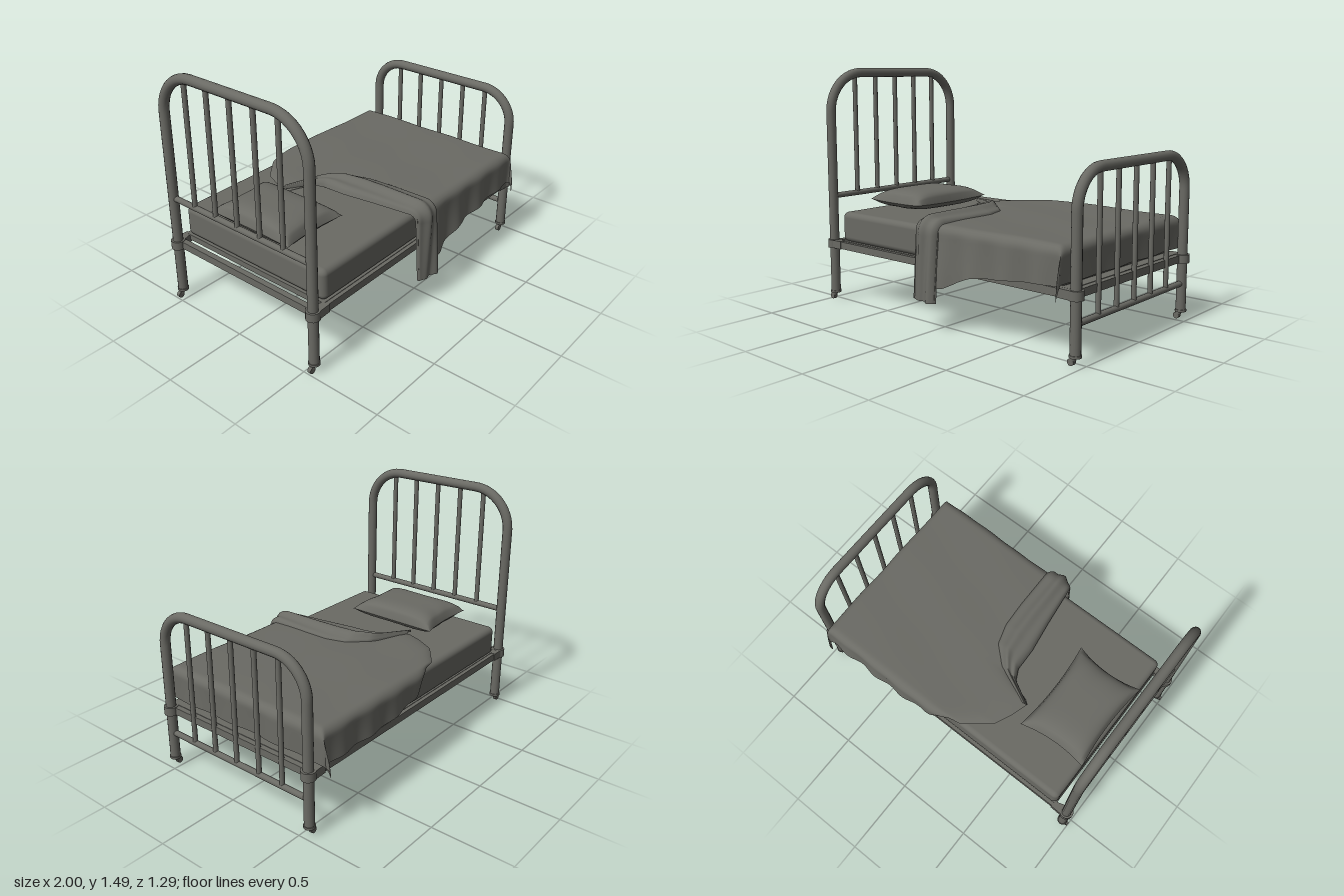
import * as THREE from 'three';
import { RoundedBoxGeometry } from 'three/addons/geometries/RoundedBoxGeometry.js';

const V = (x, y, z) => new THREE.Vector3(x, y, z);
const lerp = THREE.MathUtils.lerp;
const POST_X = 0.956, POST_Z = 0.537;

// piecewise-linear lookup through [key, value] pairs
function lookup(pairs, k) {
  for (let i = 1; i < pairs.length; i++) {
    const [a, va] = pairs[i - 1], [b, vb] = pairs[i];
    if (k <= b) return lerp(va, vb, THREE.MathUtils.clamp((k - a) / (b - a), 0, 1));
  }
  return pairs[pairs.length - 1][1];
}

// distance past a rounded edge -> bend angle, straight drop
const EDGE_Z = 0.545, EDGE_X = 0.86, R = 0.05, TOP = 0.62;
function bend(d) {
  if (d <= 0) return { a: 0, down: 0 };
  const a = Math.min(d / R, Math.PI / 2);
  return { a, down: R * (1 - Math.cos(a)) + Math.max(0, d - R * Math.PI / 2) };
}

// lays a cloth point (t along the bed, s across it) over the mattress
function drape(t, s, lift) {
  const side = Math.sign(s) || 1;
  const bz = bend(Math.abs(s) - EDGE_Z), bx = bend(t - EDGE_X);
  const corner = Math.min(bz.down, bx.down);
  const ripple = 0.045 * bz.down * Math.sin(t * 27) + 0.05 * bz.down;
  const z = Math.min(Math.abs(s), EDGE_Z) + (R + lift) * Math.sin(bz.a) + ripple + 0.14 * corner;
  const x = Math.min(t, EDGE_X) + (R + lift) * Math.sin(bx.a) + 0.03 * bx.down * Math.sin(s * 19) - 0.12 * corner;
  const y = TOP - Math.hypot(bz.down, bx.down) + lift * Math.cos(bz.a) * Math.cos(bx.a);
  return V(x, y, side * z);
}

// smooth sheet whose points follow rule(u, v)
function sheet(nu, nv, rule) {
  const g = new THREE.PlaneGeometry(1, 1, nu, nv), p = g.attributes.position;
  for (let i = 0; i < p.count; i++) {
    const q = rule(p.getX(i) + 0.5, 0.5 - p.getY(i));
    p.setXYZ(i, q.x, q.y, q.z);
  }
  g.computeVertexNormals();
  return g;
}

export function createModel() {
  const model = new THREE.Group();
  model.name = 'bed';
  const grey = new THREE.MeshStandardMaterial({ color: 0x6a6a64, side: THREE.DoubleSide });
  grey.name = 'warm grey';

  function add(parent, name, geometry, x = 0, y = 0, z = 0) {
    const m = new THREE.Mesh(geometry, grey);
    m.name = name;
    m.position.set(x, y, z);
    parent.add(m);
    return m;
  }
  function rod(parent, name, a, b, r, r2 = r) {
    const d = b.clone().sub(a);
    const m = add(parent, name, new THREE.CylinderGeometry(r2, r, d.length(), 16));
    m.position.copy(a).add(b).multiplyScalar(0.5);
    m.quaternion.setFromUnitVectors(V(0, 1, 0), d.normalize());
  }

  // arched end frame with spindles, collars and casters
  function endFrame(name, dir, top, radius, railY) {
    const g = new THREE.Group(), x = dir * POST_X, k = radius * 0.4477;
    g.name = name;
    model.add(g);
    const path = new THREE.CurvePath(), zi = POST_Z - radius, yi = top - radius;
    path.add(new THREE.LineCurve3(V(x, 0.05, POST_Z), V(x, yi, POST_Z)));
    path.add(new THREE.CubicBezierCurve3(V(x, yi, POST_Z), V(x, top - k, POST_Z), V(x, top, zi + radius - k), V(x, top, zi)));
    path.add(new THREE.LineCurve3(V(x, top, zi), V(x, top, -zi)));
    path.add(new THREE.CubicBezierCurve3(V(x, top, -zi), V(x, top, k - POST_Z), V(x, top - k, -POST_Z), V(x, yi, -POST_Z)));
    path.add(new THREE.LineCurve3(V(x, yi, -POST_Z), V(x, 0.05, -POST_Z)));
    add(g, 'archedTube', new THREE.TubeGeometry(path, 110, 0.03, 14));
    rod(g, 'crossRail', V(x, railY, -POST_Z), V(x, railY, POST_Z), 0.018);
    for (let i = -2; i <= 2; i++) {
      rod(g, 'spindle', V(x, railY, i * 0.172 - 0.004), V(x, top, i * 0.172 - 0.004), 0.015);
    }
    add(g, 'frameBar', new THREE.BoxGeometry(0.035, 0.045, POST_Z * 2), dir * 0.94, 0.372, 0);

    for (const sz of [1, -1]) {
      const z = sz * POST_Z;
      rod(g, 'collar', V(x, 0.346, z), V(x, 0.398, z), 0.042);
      // bracket narrowing from the collar to the side rail
      const b = new THREE.BoxGeometry(0.1, 0.05, 0.07), p = b.attributes.position;
      for (let i = 0; i < p.count; i++) {
        if (p.getX(i) * dir < 0) p.setZ(i, p.getZ(i) * 0.55 + sz * 0.012);
      }
      b.computeVertexNormals();
      add(g, 'bracket', b, dir * 0.91, 0.372, z);
      // caster
      rod(g, 'footCap', V(x, 0.048, z), V(x, 0.062, z), 0.034);
      rod(g, 'casterStem', V(x - 0.016, 0.022, z), V(x - 0.004, 0.05, z), 0.012, 0.015);
      rod(g, 'casterWheel', V(x - 0.024, 0.02, z - 0.011), V(x - 0.024, 0.02, z + 0.011), 0.02);
    }
  }
  endFrame('headboard', -1, 1.46, 0.245, 0.68);
  endFrame('footboard', 1, 1.0, 0.205, 0.22);

  // side rails and the base they carry
  for (const sz of [1, -1]) {
    add(model, 'sideRail', new THREE.BoxGeometry(1.82, 0.045, 0.03), 0, 0.372, sz * 0.548);
  }
  add(model, 'bedBase', new THREE.BoxGeometry(1.8, 0.035, 1.08), 0.025, 0.38, 0);
  add(model, 'mattress', new RoundedBoxGeometry(1.755, 0.19, 1.085, 4, 0.035), 0.005, 0.49, -0.003);

  // pillow: puffed middle, pinched corners
  const pillow = new THREE.BoxGeometry(2, 2, 2, 28, 1, 28), pp = pillow.attributes.position;
  for (let i = 0; i < pp.count; i++) {
    const u = pp.getX(i), v = pp.getZ(i), up = pp.getY(i) > 0;
    const f = Math.sqrt(Math.max(0, (1 - u ** 4) * (1 - v ** 4)));
    const wrinkle = 0.006 * Math.sin(u * 9 + v * 4) * f * (1 - f);
    pp.setXYZ(i,
      u * 0.222 * (1 - 0.1 * (1 - v * v) * u * u),
      (up ? 0.085 : -0.04) * f + wrinkle + 0.012 * u * u * v * v,
      v * 0.305 * (1 - 0.1 * (1 - u * u) * v * v) - 0.02 * u * (v < 0 ? 0.5 : 0));
  }
  pillow.computeVertexNormals();
  add(model, 'pillow', pillow, -0.654, 0.626, -0.012);

  // blanket: turned-back head edge, hanging over both sides and the foot
  const headEdge = [[-0.8, 0.05], [-0.6, -0.06], [-0.545, -0.14], [-0.42, -0.3], [-0.3, -0.355],
    [-0.19, -0.39], [-0.12, -0.2], [0.1, -0.18], [0.3, -0.15], [0.545, -0.1], [0.6, 0], [0.85, 0.03]];
  const frontDrop = [[0, 0.37], [0.1, 0.35], [0.2, 0.3], [0.3, 0.26], [0.5, 0.235], [0.75, 0.21], [1, 0.21]];
  const backDrop = [[-0.12, 0.05], [0.1, 0.15], [0.4, 0.19], [1, 0.2]];
  const blanket = sheet(90, 110, (u, v) => {
    const nominal = lerp(-0.78, 0.78, v), side = Math.sign(nominal);
    const t = lerp(lookup(headEdge, nominal), EDGE_X + 0.225, u);
    const past = (Math.abs(nominal) - EDGE_Z) / (0.78 - EDGE_Z);
    const drop = lookup(side > 0 ? frontDrop : backDrop, t) + 0.03;
    const s = past > 0 ? side * (EDGE_Z + past * drop) : nominal;
    const edge = -0.022 * Math.exp(-u * 25);
    const crease = 0.004 * Math.sin(t * 7 - s * 5) * Math.cos(s * 8 + t * 3);
    return drape(t, s, edge + crease);
  });
  add(model, 'blanket', blanket);

  // folded-back layer running across the bed and down the front side
  const foldOuter = [[-0.21, -0.4], [-0.12, -0.24], [-0.05, -0.205], [0.1, -0.2], [0.3, -0.17], [0.545, -0.14], [0.65, -0.13]];
  const foldInner = [[-0.21, -0.36], [-0.1, -0.11], [0, 0], [0.13, 0.04], [0.3, 0.05], [0.6, 0.05]];
  const fold = sheet(28, 90, (w, q) => {
    const s = lerp(-0.21, 1.02, q);
    const t = lerp(lookup(foldOuter, s), lookup(foldInner, s), w);
    const puff = Math.pow(Math.max(0, Math.sin(Math.PI * w)), 0.5);
    const grow = Math.min(1, 0.35 + q * 5);
    const ridge = 0.008 * Math.sin(w * 13 + s * 4) * puff;
    return drape(t, s, (-0.015 + 0.055 * puff + ridge) * grow);
  });
  add(model, 'blanketFold', fold);

  // inner layer of the hanging fold
  const lining = sheet(12, 24, (w, q) => {
    const p = drape(lerp(-0.13, 0.05, w), lerp(0.56, 1.02, q), 0);
    return V(p.x, p.y, p.z - 0.02 * Math.sin(Math.PI * w));
  });
  add(model, 'foldLining', lining);

  return model;
}
